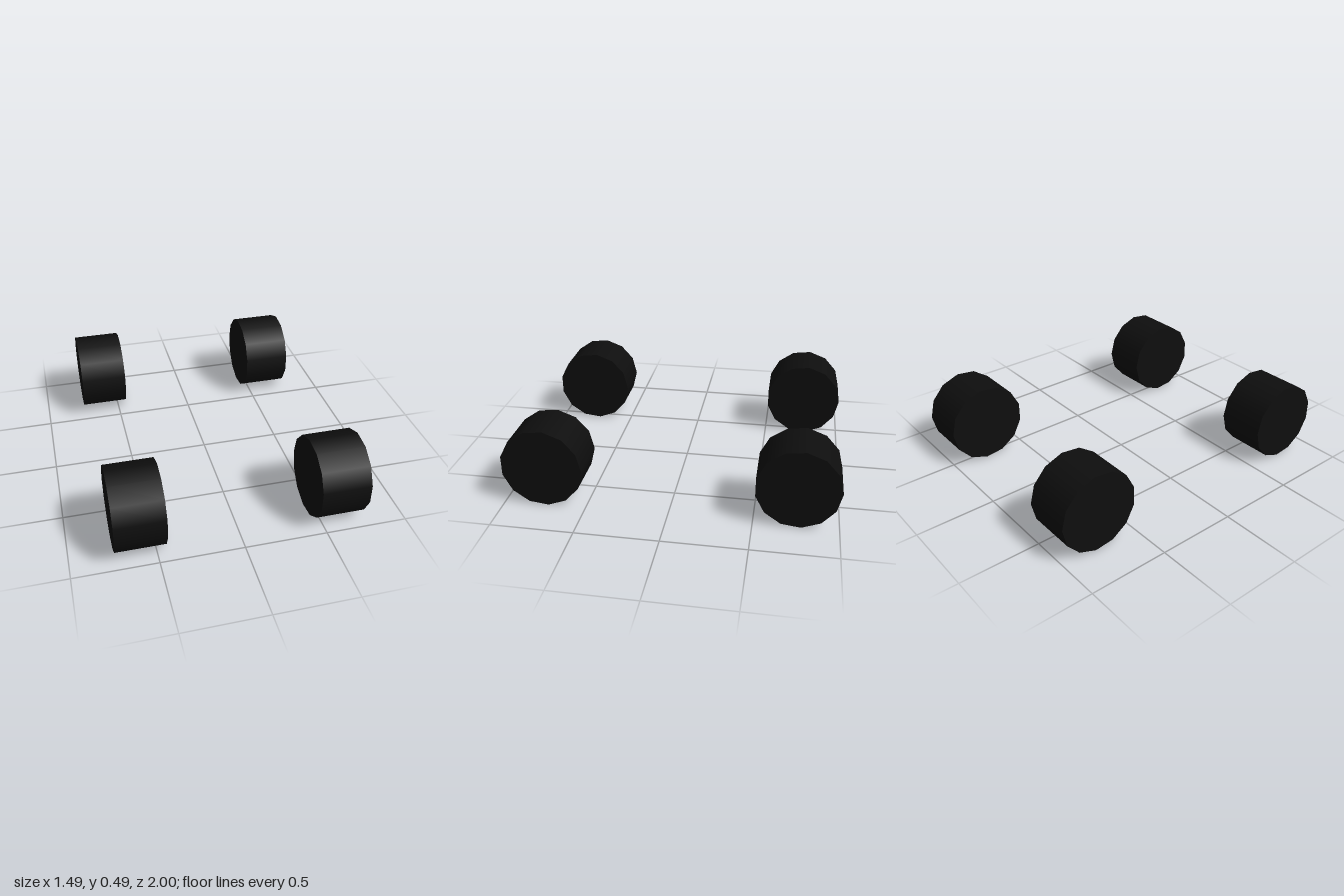
import * as THREE from 'three';

export function createModel() {
  const model = new THREE.Group();
  model.name = 'wheelSet';

  const rubber = new THREE.MeshStandardMaterial({ color: 0x0e0e0e });
  rubber.name = 'black rubber';

  // Thirteen-sided wheel lying along x, one corner pointing to the back
  const radius = 0.2487;
  const wheel = new THREE.CylinderGeometry(radius, radius, 0.298, 13, 1, false, Math.PI);
  wheel.rotateZ(Math.PI / 2);

  // Two axles, with a left and a right wheel on each
  const axles = [['front', 0.7586], ['back', -0.7513]];
  const sides = [['Left', 1], ['Right', -1]];
  for (const [axle, z] of axles) {
    for (const [side, sign] of sides) {
      const mesh = new THREE.Mesh(wheel, rubber);
      mesh.name = `${axle}${side}Wheel`;
      mesh.position.set(sign * 0.597, 0.2469, z);
      model.add(mesh);
    }
  }
  return model;
}
